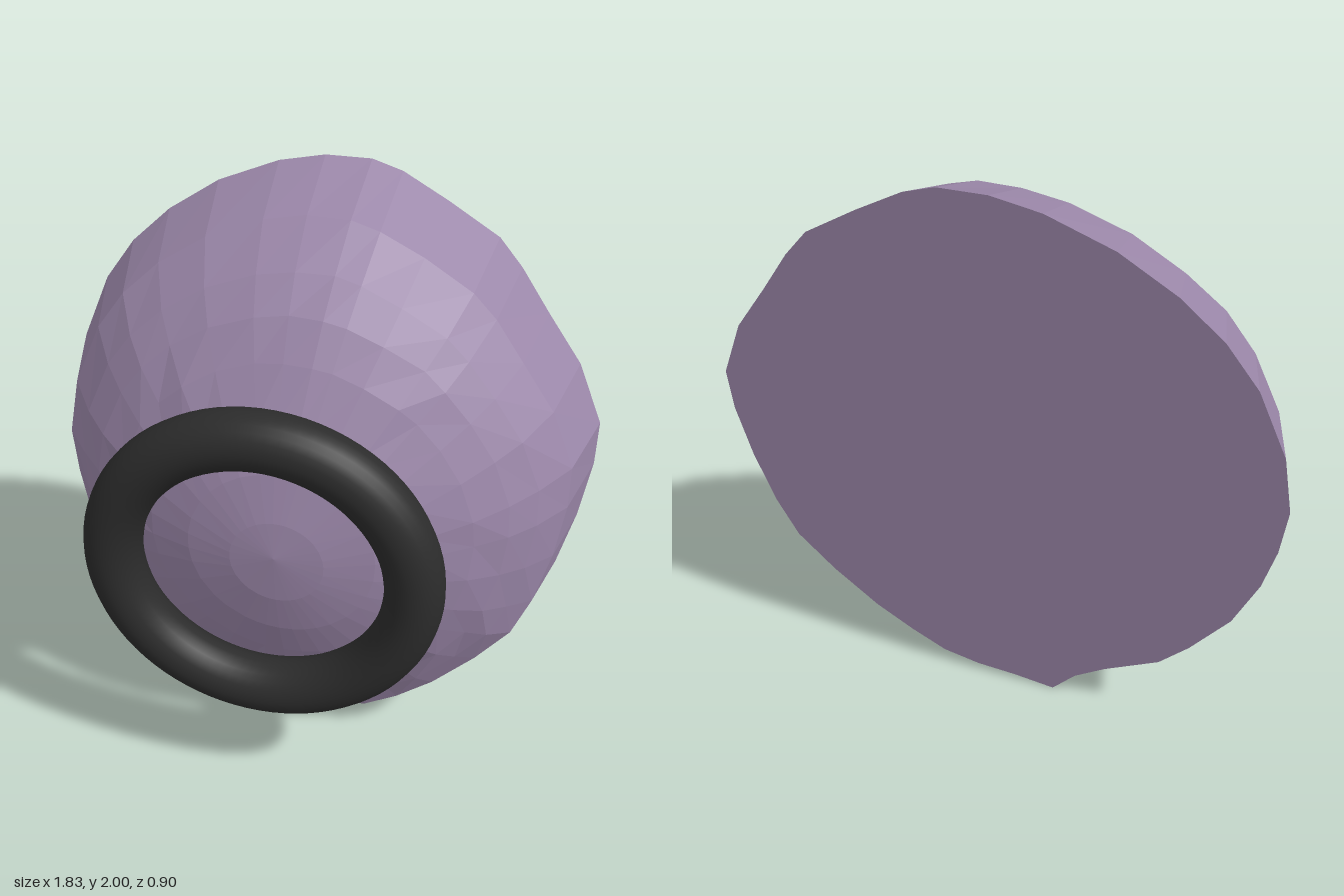
import * as THREE from 'three';

const purple = new THREE.MeshStandardMaterial({ color: 0x9c88aa });
purple.name = 'dusty purple';
purple.flatShading = true;
const black = new THREE.MeshStandardMaterial({ color: 0x2c2c2c });
black.name = 'charcoal';

// Irregular rim outline (x, y), clockwise seen from the front
const RIM = [
  [0.1, 2], [0.2, 1.97], [0.35, 1.89], [0.52, 1.79], [0.6, 1.7], [0.7, 1.56], [0.82, 1.4],
  [0.91, 1.2], [0.91, 1.05], [0.88, 0.85], [0.83, 0.65], [0.77, 0.5], [0.65, 0.36],
  [0.5, 0.22], [0.37, 0.13], [0.25, 0.06], [0.12, 0.03], [-0.02, 0.02], [-0.165, 0.0],
  [-0.25, 0.1], [-0.36, 0.18], [-0.55, 0.29], [-0.65, 0.4], [-0.78, 0.58], [-0.86, 0.77],
  [-0.9, 0.93], [-0.92, 1.1], [-0.89, 1.3], [-0.8, 1.52], [-0.7, 1.66], [-0.57, 1.78],
  [-0.4, 1.89], [-0.2, 1.97], [-0.05, 2],
].reverse();

// Rings from rim to apex: outline scale, depth z, backward tilt per unit of height
const RINGS = [
  [1, -0.325, 0.121], [0.92, -0.06, 0.13], [0.82, 0.045, 0.08], [0.73, 0.115, 0.05],
  [0.62, 0.18, 0.04], [0.47, 0.252, 0.02], [0.32, 0.305, 0.01], [0.16, 0.34, 0],
];

function domeGeometry() {
  let seed = 7;
  const rand = () => ((seed = (seed * 16807) % 2147483647) / 2147483647) - 0.5;
  const pos = [], index = [], n = RIM.length;
  RINGS.forEach(([s, z, tilt], r) => {
    for (const [x, y] of RIM) {
      // inner rings become rounder than the rim
      const a = Math.atan2(y - 1, x), round = Math.min(1, (1 - s) * 2);
      const rad = s * THREE.MathUtils.lerp(Math.hypot(x, y - 1), 0.95, round);
      const px = Math.cos(a) * rad - 0.03 * (1 - s);
      const py = 1 + Math.sin(a) * rad - 0.03 * (1 - s);
      // raised lump at the lower edge
      const lump = r > 0 ? 0.045 * Math.exp(-((px + 0.22) ** 2 + (py - 0.15) ** 2) / 0.012) : 0;
      const rough = r > 0 && r < 5 ? 0.014 : 0;
      pos.push(px, py, z + tilt * (1 - py) + lump + rand() * rough);
    }
  });
  const apex = pos.length / 3;
  pos.push(-0.03, 1.0, 0.355);
  const back = apex + 1;
  pos.push(0, 1, -0.325);
  for (let i = 0; i < n; i++) {
    const j = (i + 1) % n;
    for (let r = 0; r < RINGS.length - 1; r++) {
      const a = r * n + i, b = r * n + j, c = a + n, d = b + n;
      index.push(a, b, d, a, d, c);
    }
    const last = (RINGS.length - 1) * n;
    index.push(last + i, last + j, apex);
    index.push(j, i, back); // flat back
  }
  const g = new THREE.BufferGeometry();
  g.setAttribute('position', new THREE.Float32BufferAttribute(pos, 3));
  g.setIndex(index);
  const flat = g.toNonIndexed();
  flat.computeVertexNormals();
  return flat;
}

export function createModel() {
  const model = new THREE.Group();

  const dome = new THREE.Mesh(domeGeometry(), purple);
  dome.name = 'dome';
  model.add(dome);

  // Ring resting against the front of the dome
  const ring = new THREE.Mesh(new THREE.TorusGeometry(0.487, 0.095, 24, 80), black);
  ring.name = 'ring';
  ring.position.set(-0.07, 0.95, 0.355);
  model.add(ring);

  return model;
}
